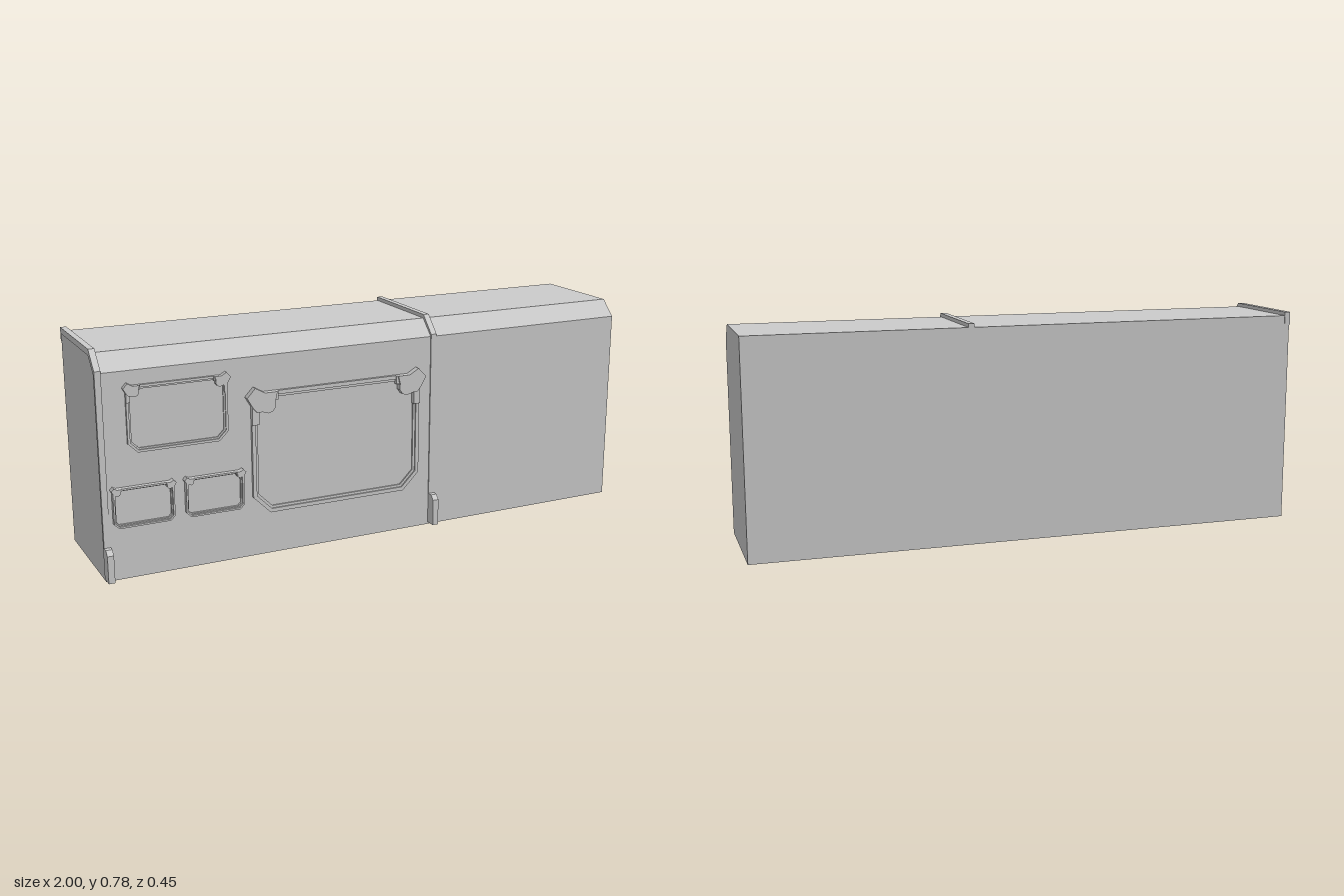
import * as THREE from 'three';

const FACE = 0.189; // z of the body's front face
const material = new THREE.MeshStandardMaterial({ color: 0xcccccc, flatShading: true });

const toShape = (pts) => new THREE.Shape(pts.map(([x, y]) => new THREE.Vector2(x, y)));

function addMesh(parent, name, geometry) {
  const mesh = new THREE.Mesh(geometry, material);
  mesh.name = name;
  parent.add(mesh);
  return mesh;
}

// Extrudes a side profile of [z, y] points from x0 to x1.
function sideExtrude(pts, x0, x1) {
  const g = new THREE.ExtrudeGeometry(toShape(pts), { depth: x1 - x0, bevelEnabled: false });
  return g.rotateY(-Math.PI / 2).translate(x1, 0, 0);
}

// Extrudes a front outline of [x, y] points outward from the body's face to depth z.
function frontExtrude(shape, z) {
  return new THREE.ExtrudeGeometry(shape, { depth: z - FACE, bevelEnabled: false }).translate(0, 0, FACE);
}

// Rectangle with its two bottom corners cut off.
function panelOutline(x0, x1, y0, y1, cut) {
  return [[x0 + cut, y0], [x1 - cut, y0], [x1, y0 + cut], [x1, y1], [x0, y1], [x0, y0 + cut]];
}

// Open frame with a stepped inner rim and a gusset on each top corner.
function makeFrame({ name, x0, x1, y0, y1, bar, cut, z, lugZ, lug }) {
  const group = new THREE.Group();
  group.name = name;
  const ring = (inset, width, depth, part) => {
    const outline = (i) => panelOutline(x0 + i, x1 - i, y0 + i, y1 - i, cut - i * 0.586);
    const shape = toShape(outline(inset));
    shape.holes.push(toShape(outline(inset + width)));
    addMesh(group, part, frontExtrude(shape, depth));
  };
  ring(0, bar * 0.6, z, 'outerRim');
  ring(bar * 0.6, bar * 0.4, (z + FACE) / 2, 'innerRim');

  for (const [cx, s] of [[x0, 1], [x1, -1]]) {
    const at = (pts) => toShape(pts.map(([x, y]) => [cx + s * x * lug, y1 + y * lug]));
    // Gusset pointing out over the corner
    addMesh(group, 'cornerGusset', frontExtrude(at([
      [-0.2, -0.12], [0.1, 0.2], [0.45, 0], [0.9, 0], [0.8, -0.4], [0.5, -0.65], [0.15, -0.65], [0.02, -0.5],
    ]), lugZ));
    // Short clamps along the side and top bars
    addMesh(group, 'sideClamp', frontExtrude(at([
      [0, -1.1], [0.25, -1.1], [0.25, -0.4], [0, -0.4],
    ]), (z + lugZ) / 2));
    addMesh(group, 'topClamp', frontExtrude(at([
      [0.4, -0.3], [0.95, -0.3], [0.95, 0], [0.4, 0],
    ]), (z + lugZ) / 2));
    // Round bolt boss
    const boss = new THREE.CylinderGeometry(lug * 0.3, lug * 0.3, lugZ - FACE, 10);
    boss.rotateX(Math.PI / 2).translate(cx + s * lug * 0.55, y1 - lug * 0.42, (FACE + lugZ) / 2);
    addMesh(group, 'cornerBoss', boss);
  }
  return group;
}

export function createModel() {
  const model = new THREE.Group();
  model.name = 'wallBlock';

  // Main block with a chamfered top front edge
  addMesh(model, 'body', sideExtrude(
    [[-0.225, 0], [FACE, 0], [FACE, 0.707], [0.132, 0.763], [-0.225, 0.763]], -0.998, 1));

  // Ribs that wrap over the block, each with a foot in front
  for (const x of [-1, 0.212]) {
    const rib = new THREE.Group();
    rib.name = 'rib';
    addMesh(rib, 'ribStrap', sideExtrude([
      [0.18, 0.008], [0.193, 0.008], [0.193, 0.715], [0.134, 0.776], [-0.227, 0.776],
      [-0.227, 0.728], [-0.222, 0.728], [-0.222, 0.755], [0.128, 0.755], [0.18, 0.703],
    ], x, x + 0.021));
    addMesh(rib, 'ribFoot', sideExtrude(
      [[0.18, 0.008], [0.228, 0.008], [0.228, 0.104], [0.212, 0.12], [0.18, 0.12]], x, x + 0.022));
    model.add(rib);
  }

  // Framed panels on the front
  const frames = [
    { name: 'largeFrame', x0: -0.476, x1: 0.163, y0: 0.152, y1: 0.583, bar: 0.022, cut: 0.062, z: 0.2, lugZ: 0.212, lug: 0.1 },
    { name: 'upperFrame', x0: -0.904, x1: -0.559, y0: 0.433, y1: 0.658, bar: 0.014, cut: 0.032, z: 0.198, lugZ: 0.206, lug: 0.05 },
    { name: 'lowerFrame', x0: -0.965, x1: -0.757, y0: 0.184, y1: 0.32, bar: 0.01, cut: 0.016, z: 0.206, lugZ: 0.211, lug: 0.03 },
    { name: 'lowerFrame', x0: -0.717, x1: -0.511, y0: 0.184, y1: 0.32, bar: 0.01, cut: 0.016, z: 0.206, lugZ: 0.211, lug: 0.03 },
  ];
  for (const f of frames) model.add(makeFrame(f));

  return model;
}
